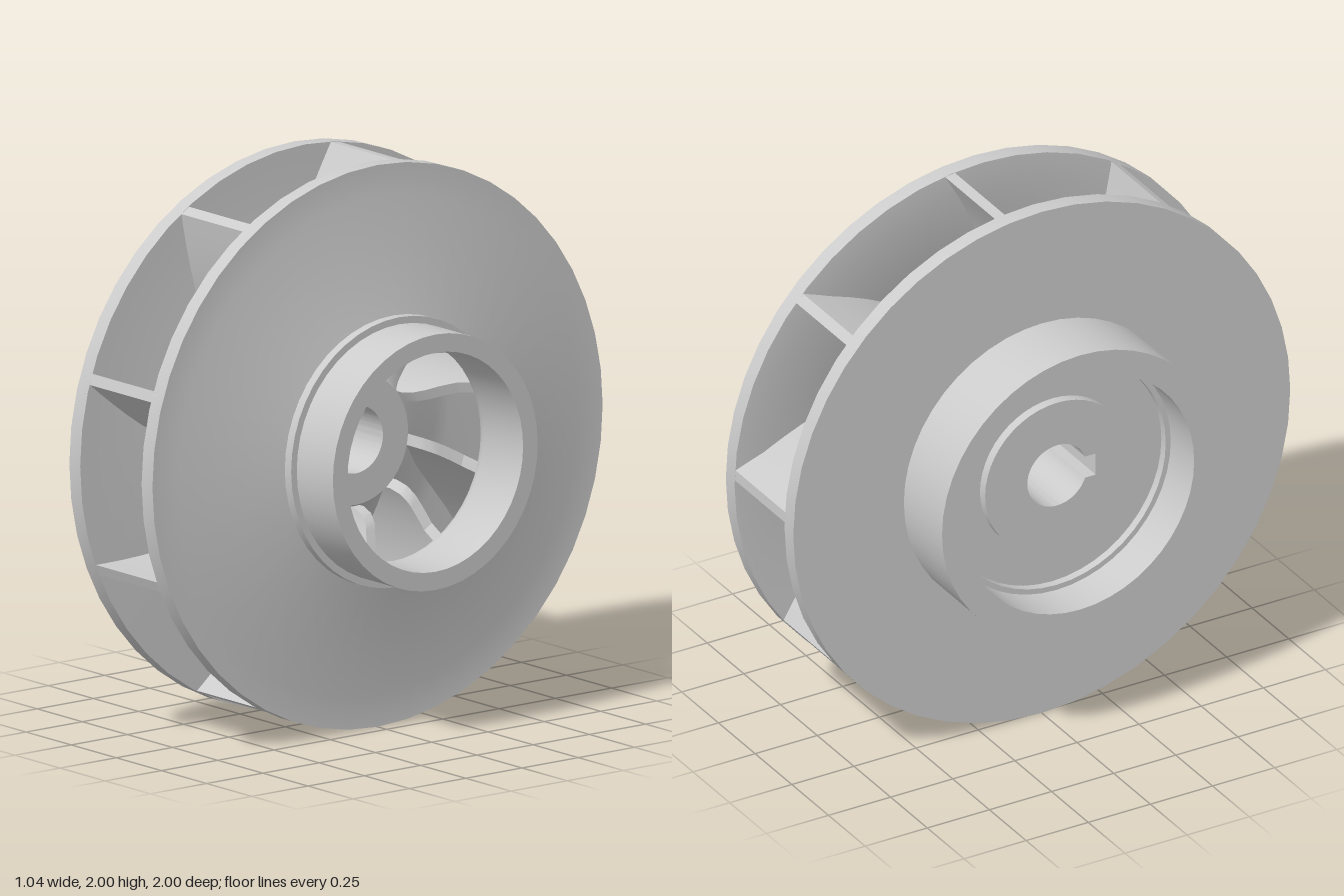
import * as THREE from 'three';
import { toCreasedNormals } from 'three/addons/utils/BufferGeometryUtils.js';

const SEGMENTS = 48;
const VANES = 9;
const CREASE = 0.45;

// Revolve [radius, x] points around the x axis
function revolve(points) {
  const g = new THREE.LatheGeometry(points.map(p => new THREE.Vector2(p[0], p[1])), SEGMENTS);
  g.rotateZ(-Math.PI / 2);
  return toCreasedNormals(g, CREASE);
}

// Piecewise linear lookup in [radius, x] pairs
function lookup(table, r) {
  let i = 1;
  while (i < table.length - 1 && table[i][0] < r) i++;
  const [r0, x0] = table[i - 1], [r1, x1] = table[i];
  return x0 + (x1 - x0) * (r - r0) / (r1 - r0);
}

// Hub centre with a keyed bore
function boreGeometry() {
  const shape = new THREE.Shape();
  shape.absarc(0, 0, 0.2, 0, Math.PI * 2);
  const a = Math.asin(0.042 / 0.12);
  const hole = new THREE.Path();
  hole.absarc(0, 0, 0.12, Math.PI + a, Math.PI * 3 - a, false);
  hole.lineTo(-0.155, 0.042);
  hole.lineTo(-0.155, -0.042);
  hole.closePath();
  shape.holes.push(hole);
  const g = new THREE.ExtrudeGeometry(shape, { depth: 0.445, bevelEnabled: false, curveSegments: SEGMENTS });
  g.translate(0, 0, -0.365);
  g.rotateY(Math.PI / 2);
  return toCreasedNormals(g, CREASE);
}

// Swept vane: four-cornered sections from the eye out to the rim
function vaneGeometry() {
  const hubSide = [[0.24, 0.05], [0.29, -0.02], [0.41, -0.12], [0.5, -0.18], [0.64, -0.22], [1, -0.22]];
  const shroudSide = [[0.24, 0.09], [0.255, 0.135], [0.285, 0.165], [0.33, 0.185], [0.385, 0.21],
    [0.42, 0.255], [0.5, 0.225], [0.89, 0.15], [1, 0.15]];
  const radii = [0.24, 0.255, 0.27, 0.285, 0.305, 0.33, 0.36, 0.385, 0.42, 0.46, 0.5, 0.57, 0.64, 0.73, 0.81, 0.89, 0.95, 0.998];
  const pos = [], index = [];
  radii.forEach((r, i) => {
    const degrees = -11 + 50 * (r - 0.25) - 19.2 * (r - 0.25) * (r - 0.39);
    const angle = THREE.MathUtils.degToRad(degrees), half = 0.02 / r;
    const xa = lookup(hubSide, r), xb = lookup(shroudSide, r);
    for (const [x, t] of [[xa, -half], [xb, -half], [xb, half], [xa, half]]) {
      pos.push(x, r * Math.sin(angle + t), r * Math.cos(angle + t));
    }
    if (i === 0) return;
    const p = (i - 1) * 4, q = i * 4;
    for (let j = 0; j < 4; j++) {
      const k = (j + 1) % 4;
      index.push(p + j, p + k, q + k, p + j, q + k, q + j);
    }
  });
  const e = (radii.length - 1) * 4;
  index.push(0, 2, 1, 0, 3, 2, e, e + 1, e + 2, e, e + 2, e + 3);
  const g = new THREE.BufferGeometry();
  g.setAttribute('position', new THREE.Float32BufferAttribute(pos, 3));
  g.setIndex(index);
  return toCreasedNormals(g, CREASE);
}

export function createModel() {
  const model = new THREE.Group();
  model.name = 'impeller';
  const material = new THREE.MeshStandardMaterial({ color: 0xcccccc });
  const add = (name, geometry) => {
    const mesh = new THREE.Mesh(geometry, material);
    mesh.name = name;
    mesh.position.y = 1;
    model.add(mesh);
    return mesh;
  };

  // Back disc with its recessed ring and the flared hub
  add('backDisc', revolve([
    [0.2, -0.365], [0.29, -0.365], [0.29, -0.33], [0.44, -0.33], [0.44, -0.36], [0.46, -0.36],
    [0.46, -0.52], [0.555, -0.52], [0.555, -0.26], [1, -0.26], [1, -0.2], [0.64, -0.2],
    [0.57, -0.19], [0.5, -0.165], [0.41, -0.1], [0.345, -0.04], [0.29, 0.01], [0.25, 0.05],
    [0.232, 0.08], [0.2, 0.08],
  ]));
  add('keyedBore', boreGeometry());

  // Conical front shroud with flange and inlet collar
  add('frontShroud', revolve([
    [0.39, 0.52], [0.39, 0.3], [0.398, 0.275], [0.42, 0.25], [0.45, 0.23], [0.5, 0.21],
    [0.89, 0.14], [1, 0.14], [1, 0.2], [0.89, 0.2], [0.48, 0.285], [0.48, 0.32],
    [0.455, 0.32], [0.455, 0.52], [0.39, 0.52],
  ]));

  // Ring of curved vanes
  const vane = vaneGeometry();
  for (let i = 0; i < VANES; i++) {
    add('vane' + (i + 1), vane).rotation.x = (i * Math.PI * 2) / VANES;
  }
  return model;
}
